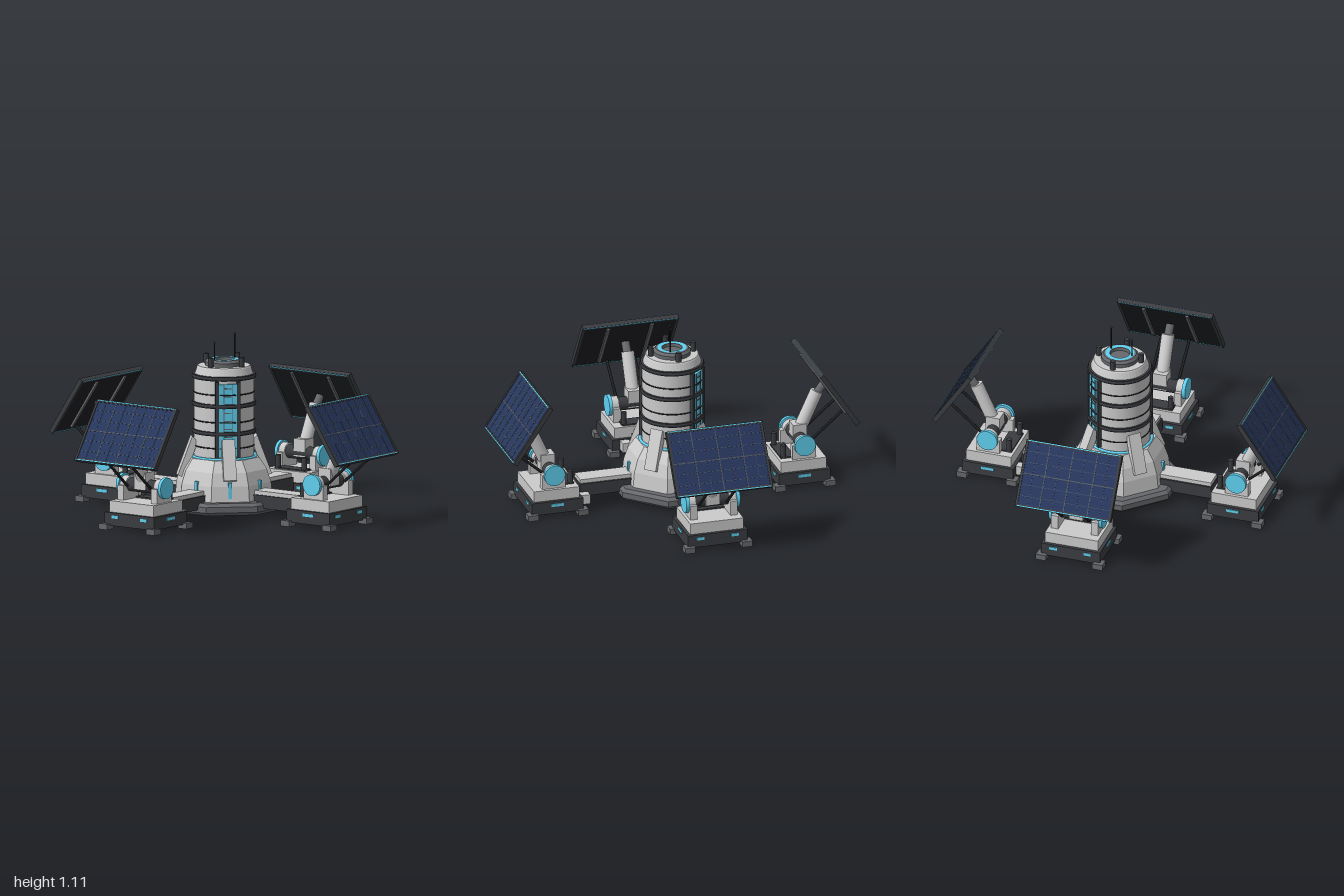
import * as THREE from 'three';

const mat = (color, flatShading = false) => new THREE.MeshStandardMaterial({ color, flatShading });
const light = mat(0xcccccc), lightFlat = mat(0xcccccc, true), mid = mat(0x66686c), dark = mat(0x3a3c40);
const black = mat(0x1e1f22), cyan = mat(0x5fd0f0), blue = mat(0x26365c), line = mat(0x55595f);

function add(parent, name, geometry, material, x = 0, y = 0, z = 0) {
  const m = new THREE.Mesh(geometry, material);
  m.name = name;
  m.position.set(x, y, z);
  parent.add(m);
  return m;
}
const box = (p, name, m, w, h, d, x, y, z) => add(p, name, new THREE.BoxGeometry(w, h, d), m, x, y, z);
const cyl = (p, name, m, r, h, x, y, z, n = 24) => add(p, name, new THREE.CylinderGeometry(r, r, h, n), m, x, y, z);

// Cylinder between two points
function rod(p, name, m, r, a, b, n = 16) {
  const A = new THREE.Vector3(...a), B = new THREE.Vector3(...b), d = B.clone().sub(A);
  const mesh = cyl(p, name, m, r, d.length(), 0, 0, 0, n);
  mesh.position.copy(A).add(B).multiplyScalar(0.5);
  mesh.quaternion.setFromUnitVectors(new THREE.Vector3(0, 1, 0), d.normalize());
  return mesh;
}
const ring = (p, name, m, r, tube, y) => {
  add(p, name, new THREE.TorusGeometry(r, tube, 10, 48), m, 0, y, 0).rotation.x = Math.PI / 2;
};
const pts = a => a.map(([x, y]) => new THREE.Vector2(x, y));

// Extruded octagonal foundation with a bevelled edge
function buildFoundation(g) {
  const a = 0.325, c = 0.15;
  const shape = new THREE.Shape(pts([[a, -c], [a, c], [c, a], [-c, a], [-a, c], [-a, -c], [-c, -a], [c, -a]]));
  const geo = new THREE.ExtrudeGeometry(shape, { depth: 0.035, bevelThickness: 0.02, bevelSize: 0.02, bevelSegments: 1 });
  geo.rotateX(-Math.PI / 2);
  add(g, 'foundation', geo, mid, 0, 0.05, 0);
}

function buildTower() {
  const g = new THREE.Group();
  g.name = 'tower';

  // Faceted skirt
  const k = 1 / Math.cos(Math.PI / 8);
  const skirt = pts([[0.285, 0.1], [0.275, 0.2], [0.25, 0.28], [0.205, 0.35], [0, 0.35]]);
  skirt.forEach(p => { p.x *= k; });
  add(g, 'skirt', new THREE.LatheGeometry(skirt, 8, Math.PI / 8), lightFlat);

  // Buttress fins and skirt lights
  const finShape = new THREE.Shape(pts([[0.2, 0.48], [0.29, 0.24], [0.25, 0.225], [0.165, 0.445]]));
  const finGeo = new THREE.ExtrudeGeometry(finShape, { depth: 0.08, bevelEnabled: false });
  finGeo.translate(0, 0, -0.04);
  for (let i = 0; i < 8; i++) {
    const side = new THREE.Group();
    side.name = 'skirtSide';
    side.rotation.y = i * Math.PI / 4;
    g.add(side);
    if (i % 2 === 0) add(side, 'fin', finGeo, light).rotation.y = -Math.PI / 2;
    if (i % 4 !== 2) box(side, 'skirtLight', cyan, 0.022, 0.1, 0.02, 0, 0.175, 0.275);
  }

  // Cylindrical hull with tapered shoulder
  const hull = [[0.165, 0.34], [0.165, 0.85], [0.183, 0.85], [0.165, 0.905], [0.16, 0.912], [0, 0.912]];
  const hullGeo = new THREE.LatheGeometry(pts(hull.slice(2)), 48);
  add(g, 'shoulder', hullGeo, mat(0xcccccc, true));
  add(g, 'hull', new THREE.CylinderGeometry(0.165, 0.165, 0.51, 48), light, 0, 0.595, 0);
  // Shell halves leave a window slot at front and back
  const slot = 0.42;
  for (const s of [0, Math.PI]) {
    const shell = new THREE.CylinderGeometry(0.183, 0.183, 0.5, 32, 1, true, s + slot, Math.PI - 2 * slot);
    add(g, 'hullShell', shell, light, 0, 0.6, 0);
  }
  ring(g, 'glowRing', cyan, 0.196, 0.009, 0.353);
  for (const y of [0.51, 0.68, 0.85]) {
    add(g, 'hullBand', new THREE.CylinderGeometry(0.193, 0.193, 0.026, 48), dark, 0, y, 0);
    ring(g, 'bandRim', dark, 0.186, 0.012, y);
  }
  for (const y of [0.42, 0.58, 0.75]) ring(g, 'hullSeam', black, 0.184, 0.004, y);

  // Glowing windows with dark jambs and rungs
  for (const s of [0, Math.PI]) {
    const w = new THREE.Group();
    w.name = 'window';
    w.rotation.y = s;
    g.add(w);
    box(w, 'windowPane', cyan, 0.125, 0.45, 0.03, 0, 0.592, 0.165);
    for (const x of [-0.066, 0.066]) box(w, 'jamb', dark, 0.022, 0.47, 0.04, x, 0.597, 0.167);
    for (const x of [-0.026, 0.026]) box(w, 'ladderRail', mid, 0.005, 0.45, 0.008, x, 0.592, 0.181);
    for (let i = 0; i < 9; i++) box(w, 'rung', mid, 0.05, 0.005, 0.008, 0, 0.39 + i * 0.05, 0.181);
  }

  // Roof hatch, corner posts and antennas
  const collar = pts([[0.115, 0.9], [0.115, 0.935], [0.1, 0.95], [0.062, 0.95], [0.06, 0.93], [0, 0.93]]);
  add(g, 'hatchCollar', new THREE.LatheGeometry(collar, 32), mat(0x66686c, true));
  add(g, 'hatchGlow', new THREE.RingGeometry(0.064, 0.09, 32), cyan, 0, 0.952, 0).rotation.x = -Math.PI / 2;
  for (const x of [-0.096, 0.096]) for (const z of [-0.096, 0.096]) cyl(g, 'roofPost', dark, 0.017, 0.07, x, 0.935, z, 12);
  for (const [x, z, top] of [[-0.065, 0.05, 1.06], [0.07, -0.025, 1.1]]) {
    rod(g, 'antenna', black, 0.004, [x, 0.92, z], [x, top, z], 8);
    add(g, 'antennaTip', new THREE.SphereGeometry(0.007, 10, 8), dark, x, top, z);
  }
  return g;
}

// Solar panel built upright, facing +z
function buildPanel() {
  const g = new THREE.Group(), W = 0.615, H = 0.415;
  g.name = 'solarPanel';
  box(g, 'panelBack', black, W - 0.01, H - 0.01, 0.018, 0, 0, -0.004);
  box(g, 'cells', blue, W - 0.03, H - 0.03, 0.006, 0, 0, 0.007);
  for (const s of [-1, 1]) {
    box(g, 'frameSide', dark, 0.016, H, 0.03, s * (W / 2 - 0.008), 0, 0);
    box(g, 'frameEdge', dark, W, 0.016, 0.028, 0, s * (H / 2 - 0.008), 0);
    box(g, 'edgeLight', cyan, W - 0.02, 0.006, 0.032, 0, s * (H / 2 - 0.005), 0);
    box(g, 'backRib', mid, 0.02, H - 0.06, 0.016, s * 0.14, 0, -0.018);
  }
  for (let i = 1; i < 8; i++) box(g, 'cellLineTall', line, i % 2 ? 0.0015 : 0.006, H - 0.03, 0.004, (i / 8 - 0.5) * W, 0, 0.0095);
  for (let i = 1; i < 6; i++) box(g, 'cellLineWide', line, W - 0.03, i === 3 ? 0.006 : 0.002, 0.004, 0, (i / 6 - 0.5) * H, 0.0095);
  return g;
}

// One outrigger: arm and panel station, pointing along +z
function buildOutrigger() {
  const g = new THREE.Group(), C = 0.789;
  g.name = 'outrigger';
  box(g, 'armBeam', dark, 0.14, 0.08, 0.49, 0, 0.105, 0.365);
  box(g, 'armCover', light, 0.118, 0.03, 0.4, 0, 0.155, 0.405);

  // Station base, feet and marker lights
  box(g, 'stationBase', dark, 0.38, 0.08, 0.33, 0, 0.065, C);
  box(g, 'junctionBox', light, 0.055, 0.06, 0.06, 0.113, 0.07, 0.595);
  for (const s of [-1, 1]) {
    for (const e of [-1, 1]) {
      box(g, 'foot', mid, 0.065, 0.036, 0.065, s * 0.182, 0.018, C + e * 0.16);
      box(g, 'markerLight', cyan, 0.05, 0.018, 0.008, s * 0.11, 0.08, C + e * 0.165);
    }
    box(g, 'sideLight', cyan, 0.008, 0.018, 0.08, s * 0.19, 0.08, C);
  }
  box(g, 'deck', light, 0.34, 0.07, 0.29, 0, 0.14, C);
  box(g, 'deckPlate', dark, 0.23, 0.012, 0.09, 0, 0.178, 0.705);

  // Pivot drum between cheeks, with glowing caps
  rod(g, 'pivotDrum', dark, 0.042, [-0.14, 0.265, 0.8], [0.14, 0.265, 0.8], 24);
  for (const s of [-1, 1]) {
    box(g, 'cheek', light, 0.045, 0.1, 0.15, s * 0.128, 0.215, 0.8);
    rod(g, 'cheekTop', light, 0.052, [s * 0.106, 0.265, 0.8], [s * 0.15, 0.265, 0.8], 24);
    rod(g, 'pivotCap', cyan, 0.066, [s * 0.15, 0.265, 0.8], [s * 0.172, 0.265, 0.8], 32);
    cyl(g, 'deckPost', dark, 0.017, 0.09, s * 0.1, 0.215, 0.68, 12);
    rod(g, 'strut', black, 0.009, [s * 0.0885, 0.265, 0.86], [s * 0.0885, 0.445, 1.07], 10);
  }
  box(g, 'neckBlock', light, 0.09, 0.11, 0.09, 0, 0.3, 0.805);
  rod(g, 'neck', light, 0.04, [0, 0.28, 0.8], [0, 0.55, 0.925], 24);
  rod(g, 'neckTip', mid, 0.026, [0, 0.5, 0.9], [0, 0.595, 0.97], 20);

  const panel = buildPanel();
  panel.position.set(0, 0.6, 0.98);
  panel.rotation.x = -0.588;
  g.add(panel);
  return g;
}

export function createModel() {
  const model = new THREE.Group();
  model.name = 'solarStation';
  buildFoundation(model);
  model.add(buildTower());
  for (let i = 0; i < 4; i++) {
    const o = buildOutrigger();
    o.rotation.y = Math.PI / 4 + i * Math.PI / 2;
    model.add(o);
  }
  return model;
}
